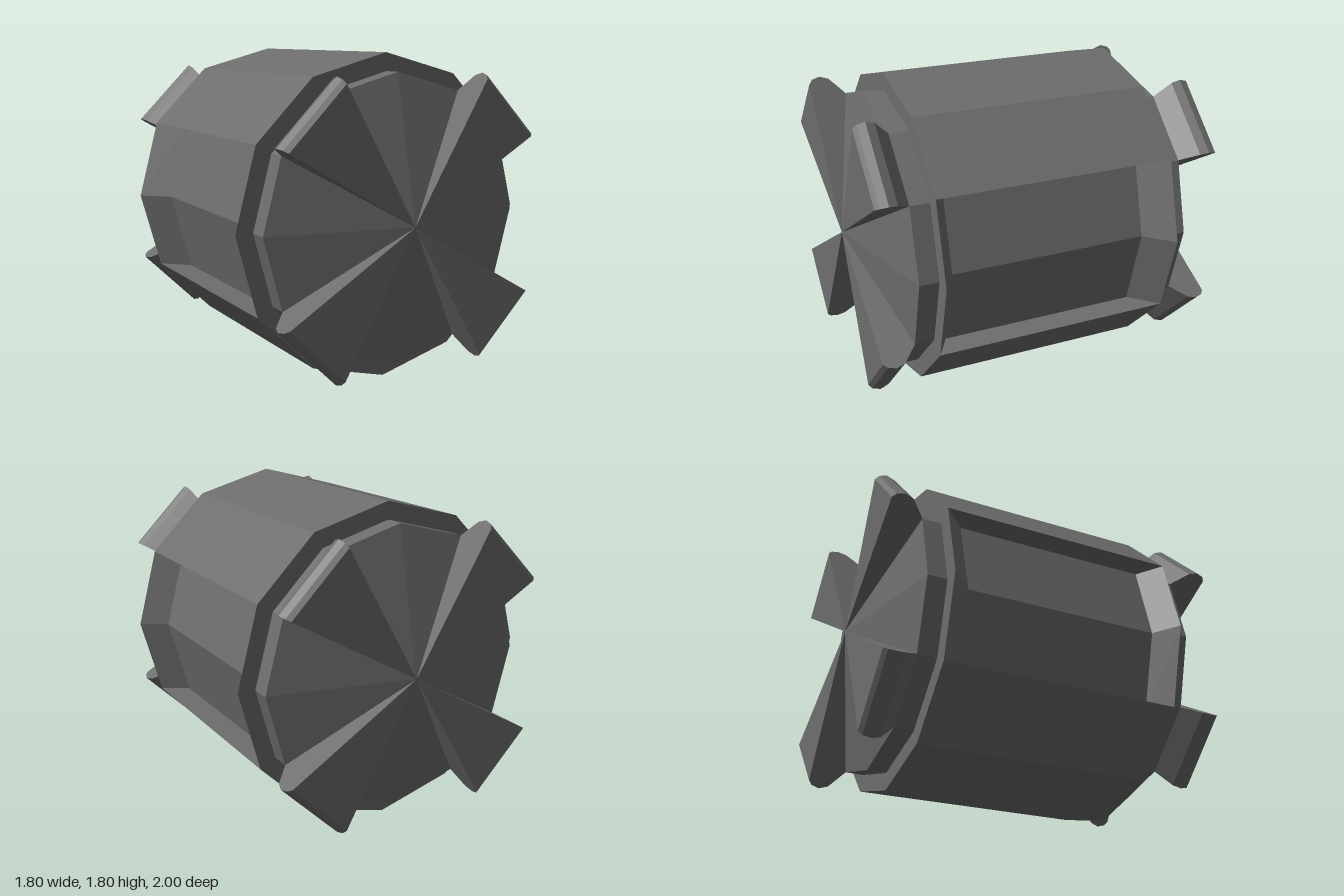
import * as THREE from 'three';
import { ConvexGeometry } from 'three/addons/geometries/ConvexGeometry.js';

const SIDES = 12, R = 0.9, HALF = 0.69;
const mat = new THREE.MeshStandardMaterial({ color: 0x6d6d6d, flatShading: true, side: THREE.DoubleSide });

function addMesh(parent, name, geometry) {
  const mesh = new THREE.Mesh(geometry, mat);
  mesh.name = name;
  parent.add(mesh);
  return mesh;
}

// Twelve-sided section; the left and right pairs of faces are pushed inward by `depth`
function section(z, depth) {
  const loop = [];
  for (let k = 0; k < SIDES; k++) {
    const a = k * Math.PI / 6;
    const x = R * Math.cos(a), y = R * Math.sin(a);
    const outer = new THREE.Vector3(x, y, z);
    const inner = new THREE.Vector3(x - Math.sign(x) * depth, y, z);
    const m = k % 6;
    if (m === 0) loop.push(inner);
    else if (m === 1) loop.push(inner, outer);
    else if (m === 5) loop.push(outer, inner);
    else loop.push(outer);
  }
  return loop;
}

// Skin between successive loops, skipping collapsed triangles
function loft(loops) {
  const pos = [];
  const tri = (a, b, c) => {
    const area = b.clone().sub(a).cross(c.clone().sub(a)).length();
    if (area > 1e-6) pos.push(...a.toArray(), ...b.toArray(), ...c.toArray());
  };
  for (let s = 0; s < loops.length - 1; s++) {
    const f = loops[s], b = loops[s + 1], n = f.length;
    for (let i = 0; i < n; i++) {
      const j = (i + 1) % n;
      tri(f[i], b[i], b[j]);
      tri(f[i], b[j], f[j]);
    }
  }
  const g = new THREE.BufferGeometry();
  g.setAttribute('position', new THREE.Float32BufferAttribute(pos, 3));
  g.computeVertexNormals();
  return g;
}

// End of the drum: stepped collar, shallow cone and four raised wedges
function makeEnd(name) {
  const end = new THREE.Group();
  end.name = name;

  const profile = [[R, HALF], [0.8, HALF], [0.8, 0.8], [0, 0.975]].map(p => new THREE.Vector2(...p));
  addMesh(end, 'collarAndCone', new THREE.LatheGeometry(profile, SIDES).rotateX(Math.PI / 2));

  // Wedge profile as radius and z, spanning one 30 degree sector
  const wedge = [[0.8, 0.8], [0.897, 0.885], [0.914, 0.935], [0.9, 0.98], [0.875, 1]];
  const pts = [new THREE.Vector3(0, 0, 0.98)];
  for (const a of [Math.PI / 6, Math.PI / 3])
    for (const [r, z] of wedge) pts.push(new THREE.Vector3(r * Math.cos(a), r * Math.sin(a), z));
  const wedgeGeometry = new ConvexGeometry(pts);
  for (let i = 0; i < 4; i++) addMesh(end, 'wedge', wedgeGeometry).rotation.z = i * Math.PI / 2;
  return end;
}

export function createModel() {
  const model = new THREE.Group();
  model.name = 'drum';
  const drum = new THREE.Group();
  drum.name = 'drumAssembly';
  drum.position.y = R;
  model.add(drum);

  // Body with a recessed panel on each side
  const d = 0.15;
  addMesh(drum, 'body', loft([section(HALF, 0), section(0.6, d), section(-0.55, d), section(-HALF, 0)]));

  // Matching ends
  drum.add(makeEnd('frontEnd'));
  const back = makeEnd('backEnd');
  back.rotation.y = Math.PI;
  drum.add(back);
  return model;
}
